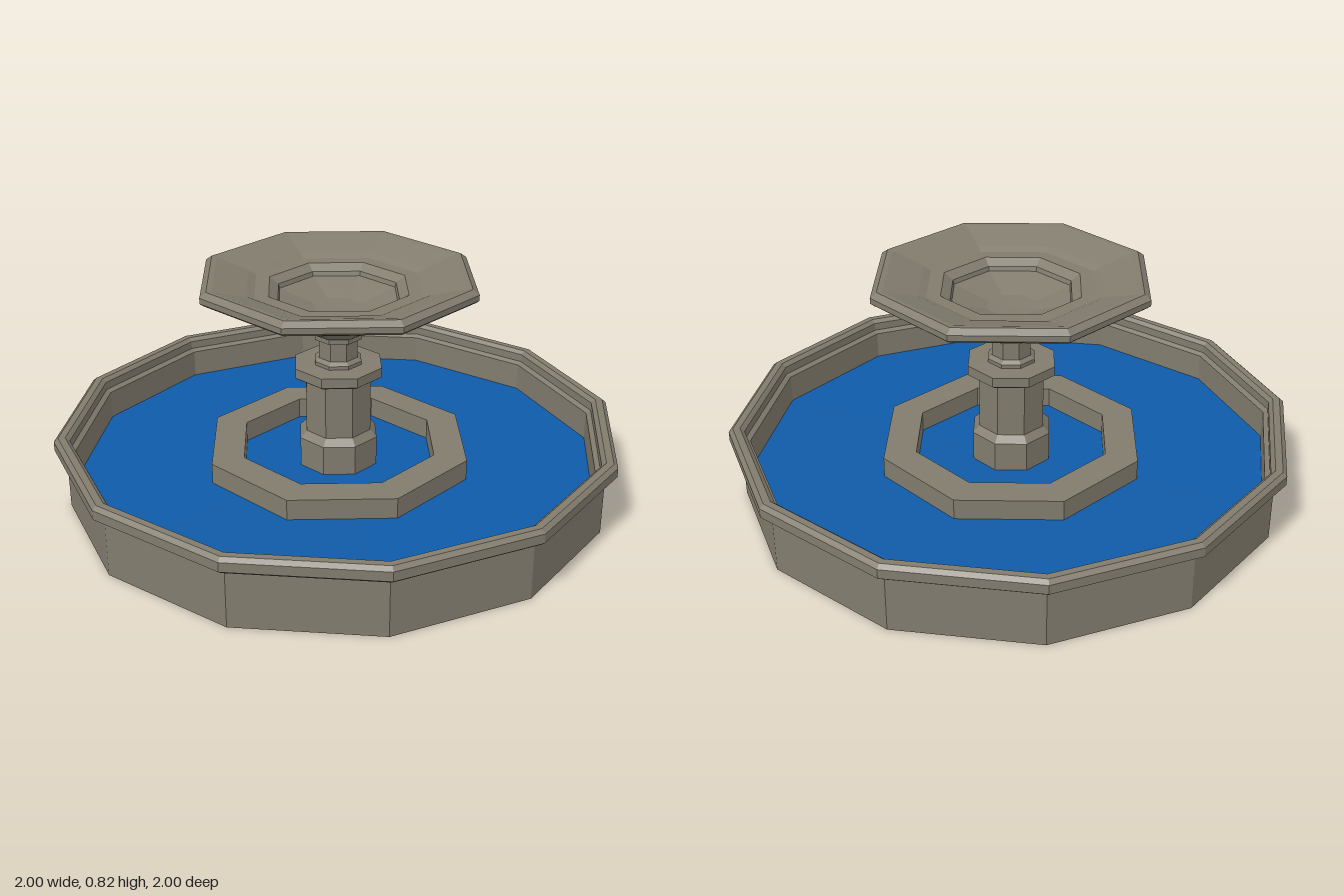
import * as THREE from 'three';

const stone = new THREE.MeshStandardMaterial({ color: 0x827c6e, flatShading: true, side: THREE.DoubleSide });
const blue = new THREE.MeshStandardMaterial({ color: 0x0f5ba8, flatShading: true, side: THREE.DoubleSide });

// Faceted turned part from a [radius, height] profile, with a corner on each axis
function turned(name, sides, profile) {
  const points = profile.map(([r, y]) => new THREE.Vector2(r, y));
  const mesh = new THREE.Mesh(new THREE.LatheGeometry(points, sides), stone);
  mesh.name = name;
  return mesh;
}

export function createModel() {
  const fountain = new THREE.Group();
  fountain.name = 'fountain';

  // Twelve-sided basin: outer wall, overhanging rim and inner wall, open below
  fountain.add(turned('basin', 12, [
    [0.96, 0], [0.96, 0.21], [0.985, 0.21], [1, 0.222], [1, 0.255], [0.985, 0.268],
    [0.96, 0.268], [0.945, 0.255], [0.945, 0.225], [0.928, 0.215], [0.928, 0.1],
  ]));

  // Water sheet
  const water = new THREE.Mesh(new THREE.CircleGeometry(0.93, 12), blue);
  water.name = 'water';
  water.rotation.x = -Math.PI / 2;
  water.position.y = 0.113;
  fountain.add(water);

  // Low octagonal kerb in the water
  fountain.add(turned('innerKerb', 8, [[0.48, 0.064], [0.48, 0.187], [0.36, 0.187], [0.36, 0.064]]));

  // Pedestal: foot, shaft, collar and neck
  fountain.add(turned('pedestal', 8, [
    [0.146, 0.1], [0.146, 0.22], [0.122, 0.245], [0.122, 0.44], [0.15, 0.447], [0.162, 0.455],
    [0.162, 0.49], [0.087, 0.492], [0.087, 0.505], [0.072, 0.517], [0.072, 0.58],
    [0.087, 0.587], [0.087, 0.607], [0, 0.607],
  ]));

  // Upper bowl: stepped underside, lip and sunken dish
  fountain.add(turned('upperBowl', 8, [
    [0.075, 0.605], [0.1, 0.61], [0.14, 0.638], [0.19, 0.66], [0.207, 0.685], [0.212, 0.715],
    [0.222, 0.75], [0.255, 0.772], [0.485, 0.775], [0.498, 0.785], [0.498, 0.805], [0.475, 0.822],
    [0.455, 0.82], [0.335, 0.785], [0.22, 0.735], [0.09, 0.695], [0, 0.69],
  ]));

  return fountain;
}
